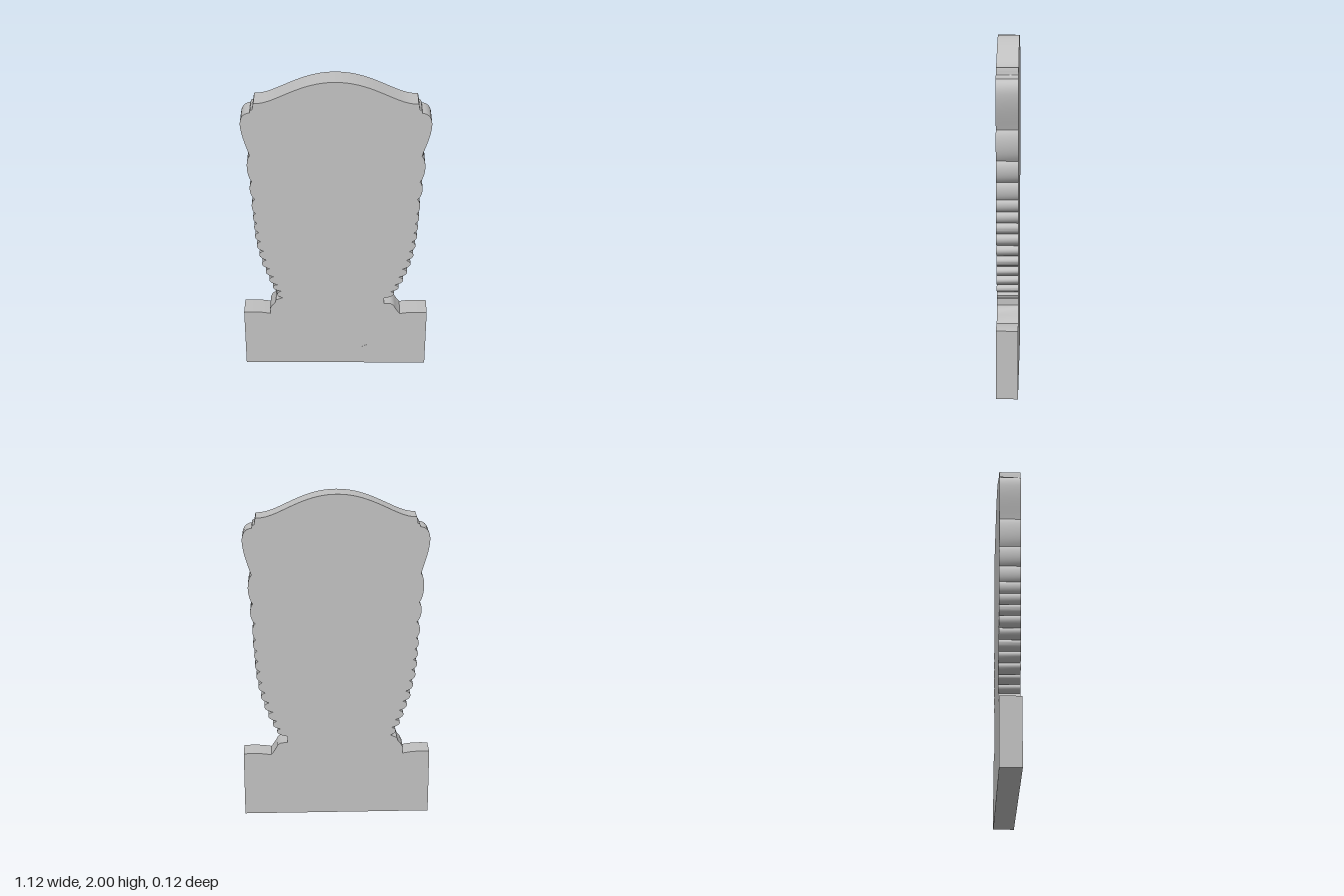
import * as THREE from 'three';
import { toCreasedNormals } from 'three/addons/utils/BufferGeometryUtils.js';

const DEPTH = 0.124;

// Scalloped edges: heights of the notches, notch half-width, and reach of the bump below it
const NOTCH_Y = [1.53, 1.355, 1.235, 1.135, 1.065, 1, 0.935, 0.865, 0.8, 0.735, 0.675, 0.615, 0.565, 0.515];
const LEFT = {
  notch: [0.488, 0.483, 0.473, 0.473, 0.465, 0.46, 0.45, 0.438, 0.422, 0.4, 0.38, 0.355, 0.335, 0.295],
  bump: [0.51, 0.5, 0.49, 0.488, 0.483, 0.48, 0.473, 0.463, 0.448, 0.43, 0.408, 0.382, 0.355],
};
const RIGHT = {
  notch: [0.485, 0.478, 0.465, 0.465, 0.458, 0.45, 0.442, 0.428, 0.41, 0.395, 0.372, 0.35, 0.328, 0.322],
  bump: [0.503, 0.492, 0.485, 0.48, 0.476, 0.473, 0.465, 0.452, 0.438, 0.418, 0.398, 0.378, 0.354],
};

// Bezier segments of one side from the top centre to the lowest notch, as [c1, c2, end]
function sideCurves({ notch, bump }, shoulder) {
  const s = shoulder;
  const curves = [
    [[0.07, 2], [0.14, 1.985], [0.22, 1.95]],
    [[0.32, 1.907], [0.38, 1.865], [s - 0.005, 1.866]],
    [[s, 1.855], [s, 1.84], [s + 0.003, 1.828]],
    [[s + 0.012, 1.828], [s + 0.016, 1.82], [s + 0.018, 1.808]],
    [[s + 0.055, 1.805], [s + 0.075, 1.775], [s + 0.074, 1.73]],
    [[s + 0.072, 1.66], [s + 0.04, 1.58], [notch[0], 1.53]],
  ];
  bump.forEach((b, i) => {
    const y0 = NOTCH_Y[i], y1 = NOTCH_Y[i + 1], mean = (notch[i] + notch[i + 1]) / 2;
    const out = mean + (b - mean) / 0.75;
    curves.push([[out, y0 - (y0 - y1) * 0.15], [out, y1 + (y0 - y1) * 0.25], [notch[i + 1], y1]]);
  });
  return curves;
}

// Sampled outline of one side, running from the top down to the base
function sidePoints(side, shoulder, foot) {
  const path = new THREE.Path();
  path.moveTo(0, 2);
  for (const [a, b, c] of sideCurves(side, shoulder)) path.bezierCurveTo(...a, ...b, ...c);
  for (const [x, y] of foot) path.lineTo(x, y);
  path.quadraticCurveTo(0.47, 0.41, 0.56, 0.403);
  path.lineTo(0.56, 0);
  return path.getPoints(8);
}

export function createModel() {
  const group = new THREE.Group();
  group.name = 'memorialSlab';
  const stone = new THREE.MeshStandardMaterial({ color: 0xc0c0c0 });
  stone.name = 'grey stone';

  // Slab and base share one silhouette
  const left = sidePoints(LEFT, 0.463,
    [[0.295, 0.475], [0.335, 0.473], [0.355, 0.46], [0.367, 0.435], [0.38, 0.415], [0.395, 0.395]]);
  const right = sidePoints(RIGHT, 0.457,
    [[0.345, 0.505], [0.362, 0.498], [0.37, 0.475], [0.388, 0.455], [0.4, 0.43], [0.398, 0.393]]);
  const outline = [...right.map(p => new THREE.Vector2(-p.x, p.y)), ...left.slice(1).reverse()];
  const slabGeometry = new THREE.ExtrudeGeometry(new THREE.Shape(outline), { depth: DEPTH, bevelEnabled: false });
  slabGeometry.translate(0, 0, -DEPTH / 2);
  const slab = new THREE.Mesh(toCreasedNormals(slabGeometry, 0.6), stone);
  slab.name = 'slab';
  group.add(slab);

  // Small chip mark on the front of the base
  const chipShape = new THREE.Shape([[0.165, 0.131], [0.19, 0.131], [0.227, 0.15], [0.225, 0.16], [0.195, 0.146]]
    .map(([x, y]) => new THREE.Vector2(x, y)));
  const chip = new THREE.Mesh(new THREE.ExtrudeGeometry(chipShape, { depth: 0.002, bevelEnabled: false }), stone);
  chip.position.z = DEPTH / 2 - 0.001;
  chip.name = 'chipMark';
  group.add(chip);

  return group;
}
